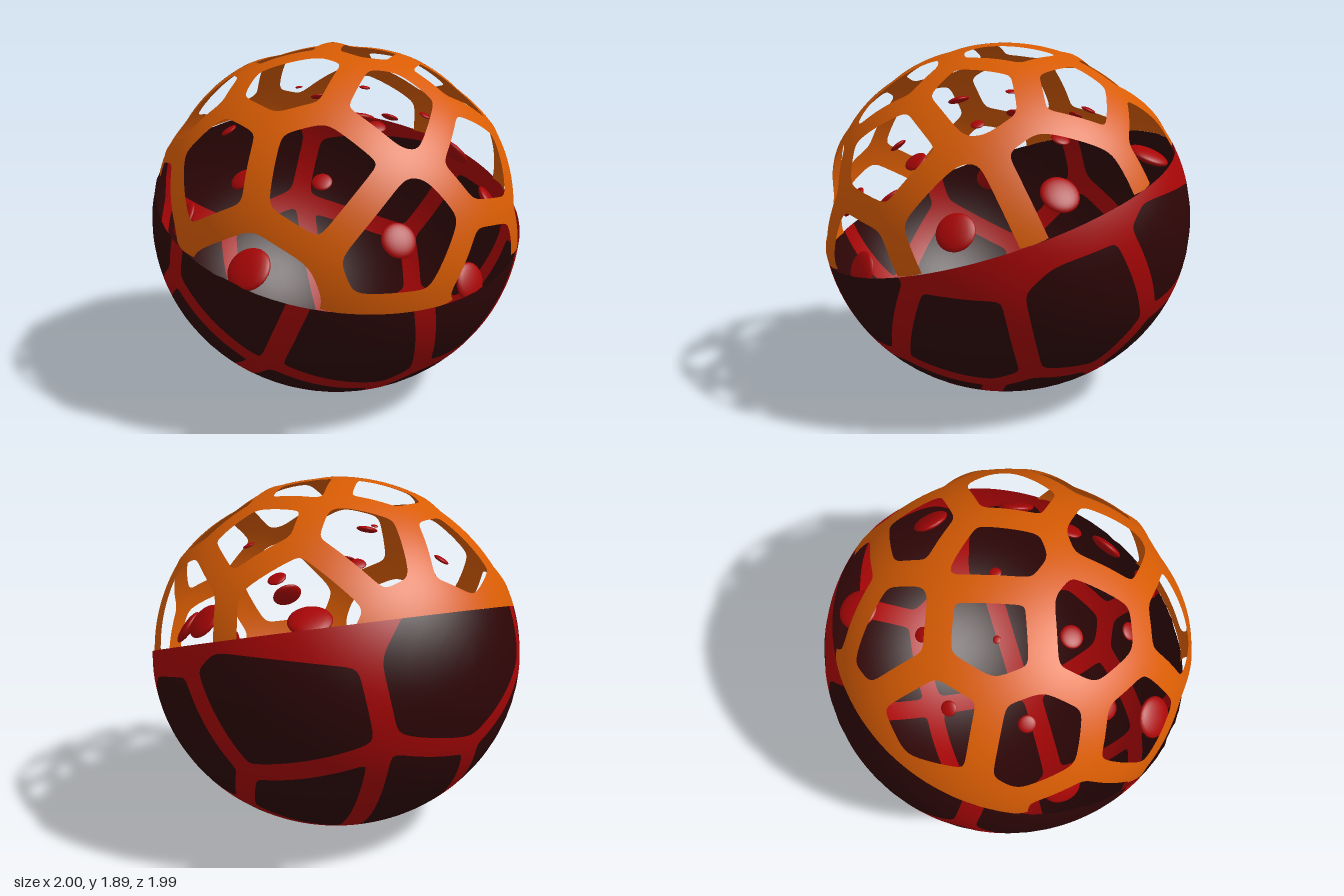
import * as THREE from 'three';

const MID = 0.945; // centre height and vertical radius of the slightly squashed ball
const SIDES = 120;
const DOUBLE = THREE.DoubleSide;

// Cell centres of the open upper lattice, as directions
const LATTICE_SEEDS = [
  [-0.4, 0.71, -0.57], [0.11, 0.81, -0.57], [-0.17, 0.97, -0.18], [0.17, 0.98, 0.02], [-0.34, 0.9, 0.27],
  [-0.69, 0.7, -0.21], [-0.8, 0.48, 0.34], [0.53, 0.81, -0.24], [0.5, 0.82, 0.27], [0.06, 0.8, 0.59],
  [-0.41, 0.51, 0.75], [0.48, 0.5, 0.71], [0.5, 0.57, -0.66], [0.9, 0.4, -0.1], [0.87, 0.18, 0.42],
  [0.46, -0.1, 0.88], [-0.04, 0.18, 0.98], [-0.75, -0.08, 0.66], [-0.97, 0.15, -0.1],
];
// Solid areas along the lattice rim
const LATTICE_BOUNDS = [[-0.05, -0.5, 0.87], [-0.72, 0.18, -0.7], [-0.13, 0.2, -0.96]];

// Cell centres of the closed lower bowl
const BOWL_SEEDS = [
  [-0.29, -0.47, 0.84], [0.45, -0.3, 0.83], [0.74, -0.51, 0.45], [0.9, -0.37, -0.25], [0.67, -0.07, -0.74],
  [0.44, -0.6, -0.67], [0.4, -0.92, -0.05], [0.32, -0.88, 0.38], [-0.82, -0.21, 0.53], [-0.86, -0.5, 0.17],
  [-0.36, -0.86, 0.37], [-0.32, 0.14, -0.94], [-0.1, -0.64, -0.77], [-0.25, -0.95, -0.2],
  [-0.98, -0.02, -0.14], [-0.62, -0.5, -0.61],
];
// Solid areas along the bowl rim
const BOWL_BOUNDS = [[0.5, 0.64, -0.56], [0.88, 0.53, 0.0], [0.85, 0.28, 0.46]];

// Floating discs: x, y, z, radius, and for a few the height on the axis they face away from
const DISCS = [
  [-0.03, 1.06, 0.83, 0.09], [-0.69, 0.91, 0.54, 0.115, 0.1], [0.37, 0.79, 0.83, 0.1], [0.72, 1.05, 0.41, 0.1],
  [0.33, 1.33, 0.54, 0.06], [-0.31, 1.31, 0.55, 0.05], [-0.28, 1.56, 0.21, 0.06], [0.41, 1.52, 0.24, 0.035],
  [0.02, 1.54, 0.47, 0.045], [0.16, 1.65, 0.01, 0.03], [-0.16, 1.65, -0.14, 0.02], [0.41, 1.43, -0.19, 0.05],
  [0.77, 1.22, -0.09, 0.1], [0.42, 1.33, -0.66, 0.11, -0.6], [0.07, 1.53, -0.44, 0.04], [-0.31, 1.45, -0.48, 0.04],
  [-0.55, 1.44, -0.17, 0.045], [-0.62, 1.28, 0.25, 0.06], [-0.83, 1.0, -0.1, 0.1],
];

// Height above the tilted seam that parts bowl and lattice
const seam = (p) => p.y + 0.328 * p.z - 1.07;

// Keep the part of a triangle on one side of the seam
function clip(tri, sign, out) {
  const poly = [];
  tri.forEach((a, i) => {
    const b = tri[(i + 1) % 3], da = sign * seam(a), db = sign * seam(b);
    if (da >= 0) poly.push(a);
    if (da * db < 0) poly.push(a.clone().lerp(b, da / (da - db)));
  });
  for (let i = 1; i + 1 < poly.length; i++) out.push(poly[0], poly[i], poly[i + 1]);
}

// Angle from seed s along tangent d to the cell edge, inset by w; a finite power rounds the corners
function reach(s, d, normals, w, power) {
  const angles = normals.map((m) => {
    const a = m.dot(s), b = m.dot(d);
    return Math.atan2(b, a) + Math.acos(Math.min(1, w / Math.hypot(a, b)));
  });
  angles.push(1.1);
  if (power === Infinity) return Math.min(...angles);
  return Math.pow(angles.reduce((sum, a) => sum + Math.pow(a, -power), 0), -1 / power);
}

// Split the ball into cells; returns triangles of the struts and of the panels between them
function buildCells(seedList, boundList, { halfWidth, power, sign, sag }) {
  const seeds = seedList.map((s) => new THREE.Vector3(...s).normalize());
  const all = seeds.concat(boundList.map((s) => new THREE.Vector3(...s).normalize()));
  const struts = [], panels = [];
  for (const s of seeds) {
    const normals = all.filter((n) => n !== s).map((n) => s.clone().sub(n).normalize());
    const e1 = new THREE.Vector3(0.31, 0.2, 0.93).cross(s).normalize();
    const e2 = s.clone().cross(e1);
    const spokes = [];
    for (let i = 0; i <= SIDES; i++) {
      const t = ((i % SIDES) / SIDES) * Math.PI * 2;
      const d = e1.clone().multiplyScalar(Math.cos(t)).addScaledVector(e2, Math.sin(t));
      const inner = reach(s, d, normals, halfWidth, power);
      const outer = reach(s, d, normals, -0.006, Infinity);
      const point = (angle, k) => {
        const p = s.clone().multiplyScalar(Math.cos(angle)).addScaledVector(d, Math.sin(angle)).multiplyScalar(k);
        return p.set(p.x, MID + MID * p.y, p.z);
      };
      spokes.push({
        panel: [0, 0.25, 0.5, 0.75, 1].map((f) => point(inner * f, 1)),
        strut: [0, 0.33, 0.67, 1].map((f) => point(inner + (outer - inner) * f, 1 - sag * (1 - f) ** 2)),
      });
    }
    const strip = (key, out) => {
      for (let i = 0; i < SIDES; i++) {
        const a = spokes[i][key], b = spokes[i + 1][key];
        for (let j = 0; j + 1 < a.length; j++) {
          clip([a[j], a[j + 1], b[j + 1]], sign, out);
          clip([a[j], b[j + 1], b[j]], sign, out);
        }
      }
    };
    strip('strut', struts);
    strip('panel', panels);
  }
  return { struts, panels };
}

// Triangles to a mesh with the smooth normals of the ball
function shellMesh(name, points, material) {
  const geometry = new THREE.BufferGeometry().setFromPoints(points);
  const normals = points.map((p) => new THREE.Vector3(p.x, (p.y - MID) / (MID * MID), p.z).normalize());
  geometry.setAttribute('normal', new THREE.Float32BufferAttribute(normals.flatMap((n) => n.toArray()), 3));
  const mesh = new THREE.Mesh(geometry, material);
  mesh.name = name;
  return mesh;
}

export function createModel() {
  const paint = (name, color) => {
    const m = new THREE.MeshStandardMaterial({ color, side: DOUBLE });
    m.name = name;
    return m;
  };
  const orange = paint('orange', 0xd95c03);
  const red = paint('red', 0xa80506);
  const maroon = paint('dark maroon', 0x2e0506);

  const model = new THREE.Group();
  model.name = 'cellularBall';

  // Closed lower bowl with a solid rim
  const bowlStyle = { halfWidth: 0.057, power: 24, sign: -1, sag: 0 };
  const bowl = buildCells(BOWL_SEEDS, BOWL_BOUNDS, bowlStyle);
  const bowlRim = buildCells(BOWL_BOUNDS, BOWL_SEEDS, bowlStyle);
  model.add(shellMesh('bowlStruts', bowl.struts, red));
  model.add(shellMesh('bowlPanels', bowl.panels, maroon));
  model.add(shellMesh('bowlRim', bowlRim.struts.concat(bowlRim.panels), red));

  // Open upper lattice with a solid rim
  const latticeStyle = { halfWidth: 0.072, power: 13, sign: 1, sag: 0.015 };
  const lattice = buildCells(LATTICE_SEEDS, LATTICE_BOUNDS, latticeStyle);
  const latticeRim = buildCells(LATTICE_BOUNDS, LATTICE_SEEDS, { ...latticeStyle, sag: 0 });
  model.add(shellMesh('upperLattice', lattice.struts, orange));
  model.add(shellMesh('latticeRim', latticeRim.struts.concat(latticeRim.panels), orange));

  // Flattened discs floating behind the openings, facing outward and up
  const discs = new THREE.Group();
  discs.name = 'floatingDiscs';
  const ball = new THREE.SphereGeometry(1, 20, 14);
  for (const [x, y, z, r, base = 0.5] of DISCS) {
    const disc = new THREE.Mesh(ball, red);
    disc.name = 'disc';
    disc.position.set(x, y, z);
    disc.scale.set(r, r, r * 0.28);
    disc.lookAt(2 * x, 2 * y - base, 2 * z);
    discs.add(disc);
  }
  model.add(discs);
  return model;
}
